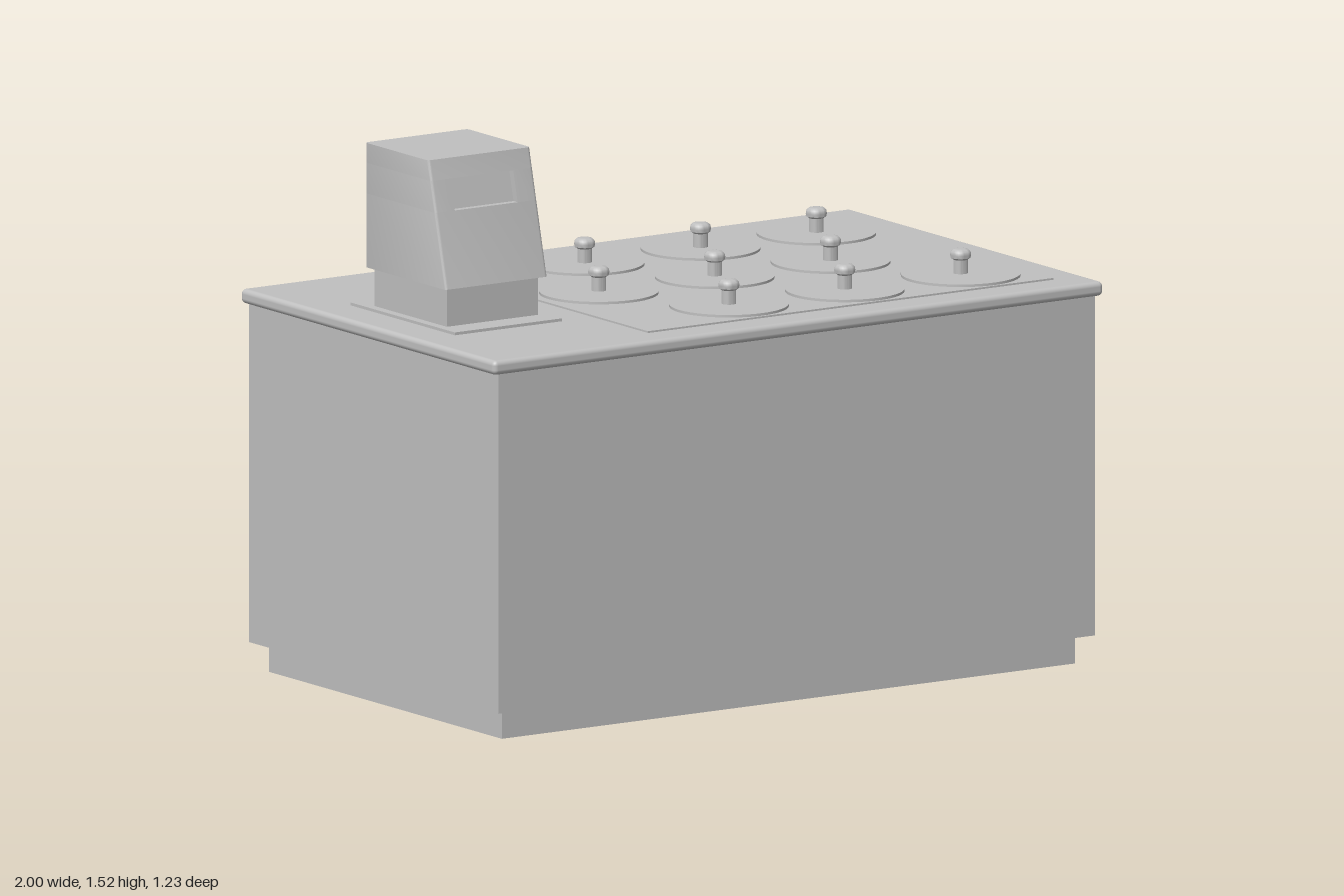
import * as THREE from 'three';
import { toCreasedNormals } from 'three/addons/utils/BufferGeometryUtils.js';
import { RoundedBoxGeometry } from 'three/addons/geometries/RoundedBoxGeometry.js';

const steel = new THREE.MeshStandardMaterial({ color: 0xc0c0c0 });
steel.name = 'grey steel';

function part(parent, name, geometry, x = 0, y = 0, z = 0) {
  const mesh = new THREE.Mesh(geometry, steel);
  mesh.name = name;
  mesh.position.set(x, y, z);
  parent.add(mesh);
  return mesh;
}

// Box given by its size, its bottom height and its centre
function box(parent, name, w, h, d, x, bottom, z = 0) {
  return part(parent, name, new THREE.BoxGeometry(w, h, d), x, bottom + h / 2, z);
}

// One level of the head: a rounded plan, optionally notched, with its front leaning back
const HEAD = { half: 0.168, back: -0.195, bottom: 1.175, top: 1.52, front: 0.195, lean: 0.085 };
function headLevel(y0, y1, notched) {
  const { half: w, back: b, front: f, bottom, top, lean } = HEAD;
  const r = 0.01;
  const s = new THREE.Shape();
  s.moveTo(-w + r, b);
  s.lineTo(w - r, b);
  s.quadraticCurveTo(w, b, w, b + r);
  s.lineTo(w, f - r);
  s.quadraticCurveTo(w, f, w - r, f);
  if (notched) {
    s.lineTo(0.103, f);
    s.lineTo(0.103, f - 0.02);
    s.lineTo(-0.103, f - 0.02);
    s.lineTo(-0.103, f);
  }
  s.lineTo(-w + r, f);
  s.quadraticCurveTo(-w, f, -w, f - r);
  s.lineTo(-w, b + r);
  s.quadraticCurveTo(-w, b, -w + r, b);
  const g = new THREE.ExtrudeGeometry(s, { depth: y1 - y0, bevelEnabled: false, curveSegments: 4 });
  g.rotateX(Math.PI / 2).translate(0, y1, 0);
  const p = g.attributes.position;
  for (let i = 0; i < p.count; i++) {
    if (p.getZ(i) > 0) p.setZ(i, p.getZ(i) - lean * (p.getY(i) - bottom) / (top - bottom));
  }
  return toCreasedNormals(g, 0.6);
}

export function createModel() {
  const model = new THREE.Group();
  model.name = 'servingCounter';

  // Cabinet
  box(model, 'plinth', 1.88, 0.08, 1.13, 0, 0);
  box(model, 'cabinet', 1.956, 0.942, 1.21, 0, 0.08);
  part(model, 'counterTop', new RoundedBoxGeometry(2, 0.04, 1.234, 3, 0.014), 0, 1.04, 0);
  box(model, 'lidPanel', 1.33, 0.01, 1.04, 0.235, 1.055);

  // Nine round lids in three staggered rows
  const knobProfile = [
    [0, 0], [0.02, 0], [0.02, 0.045], [0.027, 0.05], [0.029, 0.058],
    [0.027, 0.067], [0.021, 0.073], [0.01, 0.075], [0, 0.075],
  ].map(([x, y]) => new THREE.Vector2(x, y));
  const knobGeometry = toCreasedNormals(new THREE.LatheGeometry(knobProfile, 24), 0.7);
  const lidGeometry = new THREE.CylinderGeometry(0.163, 0.163, 0.008, 48);
  for (const [z, startX] of [[-0.35, -0.05], [0, -0.24], [0.35, -0.05]]) {
    for (let i = 0; i < 3; i++) {
      const lid = new THREE.Group();
      lid.name = 'lid';
      lid.position.set(startX + i * 0.38, 1.065, z);
      part(lid, 'lidDisc', lidGeometry, 0, 0.003, 0);
      part(lid, 'lidKnob', knobGeometry);
      model.add(lid);
    }
  }

  // Control terminal
  const terminal = new THREE.Group();
  terminal.name = 'terminal';
  terminal.position.x = -0.707;
  box(terminal, 'terminalPlate', 0.352, 0.013, 0.505, 0, 1.055);
  box(terminal, 'terminalNeck', 0.3, 0.12, 0.35, 0, 1.06);
  part(terminal, 'headLower', headLevel(HEAD.bottom, 1.38, false));
  part(terminal, 'headWindowLevel', headLevel(1.38, 1.465, true));
  part(terminal, 'headUpper', headLevel(1.465, HEAD.top, false));
  model.add(terminal);

  return model;
}
